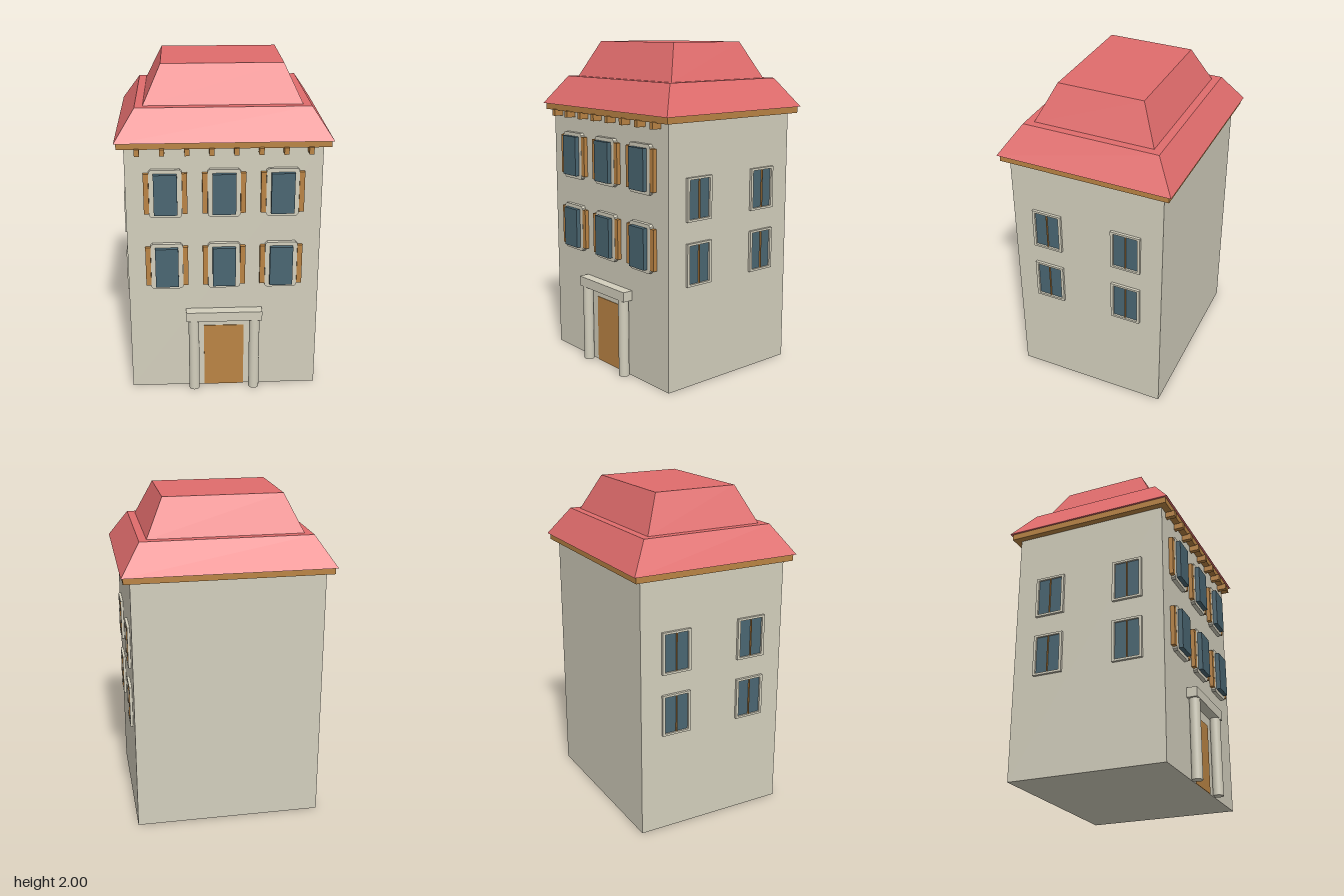
import * as THREE from 'three';

const mat = (name, color) => {
  const m = new THREE.MeshStandardMaterial({ color });
  m.name = name;
  return m;
};

export function createModel() {
  const stone = mat('stone', 0xd3cfbd);
  const wood = mat('wood', 0xba8444);
  const glass = mat('glass', 0x4a6672);
  const tile = mat('roofTile', 0xe06c6c);
  const house = new THREE.Group();
  house.name = 'townHouse';

  const add = (parent, name, geometry, material) => {
    const mesh = new THREE.Mesh(geometry, material);
    mesh.name = name;
    parent.add(mesh);
    return mesh;
  };

  // Box given by its limits on each axis
  const box = (parent, name, material, [x0, x1], [y0, y1], [z0, z1]) => {
    const g = new THREE.BoxGeometry(x1 - x0, y1 - y0, z1 - z0);
    g.translate((x0 + x1) / 2, (y0 + y1) / 2, (z0 + z1) / 2);
    return add(parent, name, g, material);
  };

  // Roof tier: a box whose top corners are pulled inwards
  const roofTier = (name, y0, y1, bottom, top) => {
    const g = new THREE.BoxGeometry(2, 1, 2);
    const p = g.attributes.position;
    for (let i = 0; i < p.count; i++) {
      const [hx, hz] = p.getY(i) > 0 ? top : bottom;
      p.setXYZ(i, p.getX(i) * hx, p.getY(i) > 0 ? y1 : y0, p.getZ(i) * hz - 0.004);
    }
    g.computeVertexNormals();
    add(house, name, g, tile);
  };

  // Rectangle outline with clipped corners, centred on the origin
  const clippedRect = (shape, w, h, c) => {
    const x = w / 2, y = h / 2;
    shape.moveTo(-x + c, -y);
    [[x - c, -y], [x, -y + c], [x, y - c], [x - c, y], [-x + c, y], [-x, y - c], [-x, -y + c]]
      .forEach(([a, b]) => shape.lineTo(a, b));
    shape.closePath();
    return shape;
  };
  const frameGeometry = (w, h, holeW, holeH, depth, clip) => {
    const shape = clippedRect(new THREE.Shape(), w, h, clip);
    shape.holes.push(clippedRect(new THREE.Path(), holeW, holeH, 0.001));
    return new THREE.ExtrudeGeometry(shape, { depth, bevelEnabled: false });
  };

  // Walls, eaves and two-tier roof
  box(house, 'walls', stone, [-0.57, 0.57], [0, 1.58], [-0.48, 0.475]);
  box(house, 'eavesBoard', wood, [-0.61, 0.61], [1.57, 1.61], [-0.522, 0.515]);
  roofTier('lowerRoof', 1.608, 1.782, [0.622, 0.533], [0.505, 0.414]);
  roofTier('upperRoof', 1.78, 2, [0.46, 0.367], [0.355, 0.261]);

  // Brackets below the front eaves
  for (let i = 0; i < 8; i++) {
    const x = -0.494 + i * 0.141;
    box(house, 'eavesBracket', wood, [x - 0.014, x + 0.014], [1.535, 1.575], [0.474, 0.535]);
  }

  // Front windows: frame, projecting glazing and open shutters
  const frontFrame = frameGeometry(0.19, 0.29, 0.135, 0.245, 0.026, 0.012);
  for (const y of [0.836, 1.296]) {
    for (const x of [-0.339, 0, 0.339]) {
      const win = new THREE.Group();
      win.name = 'frontWindow';
      win.position.set(x, y, 0.474);
      add(win, 'windowFrame', frontFrame, stone);
      box(win, 'glazing', glass, [-0.068, 0.068], [-0.123, 0.123], [0, 0.053]);
      for (const s of [-1, 1]) {
        box(win, 'shutter', wood, [s * 0.111 - 0.015, s * 0.111 + 0.015], [-0.123, 0.123], [0, 0.026]);
      }
      house.add(win);
    }
  }

  // Side windows: raised frame around a flat pane with a thin centre bar
  const sideFrame = frameGeometry(0.186, 0.256, 0.153, 0.23, 0.017, 0.001);
  for (const side of [-1, 1]) {
    for (const y of [0.744, 1.127]) {
      for (const z of [-0.253, 0.253]) {
        const win = new THREE.Group();
        win.name = 'sideWindow';
        win.position.set(side * 0.569, y, z);
        win.rotation.y = side * Math.PI / 2;
        add(win, 'windowFrame', sideFrame, stone);
        box(win, 'pane', glass, [-0.077, 0.077], [-0.115, 0.115], [0, 0.005]);
        box(win, 'centreBar', wood, [-0.002, 0.002], [-0.115, 0.115], [0.004, 0.017]);
        house.add(win);
      }
    }
  }

  // Entrance: door, columns and lintel
  box(house, 'door', wood, [-0.122, 0.122], [0, 0.42], [0.474, 0.479]);
  box(house, 'lintel', stone, [-0.23, 0.23], [0.48, 0.54], [0.474, 0.539]);
  for (const s of [-1, 1]) {
    const column = add(house, 'doorColumn', new THREE.CylinderGeometry(0.032, 0.032, 0.48, 24), stone);
    column.position.set(s * 0.185, 0.24, 0.507);
  }
  return house;
}
